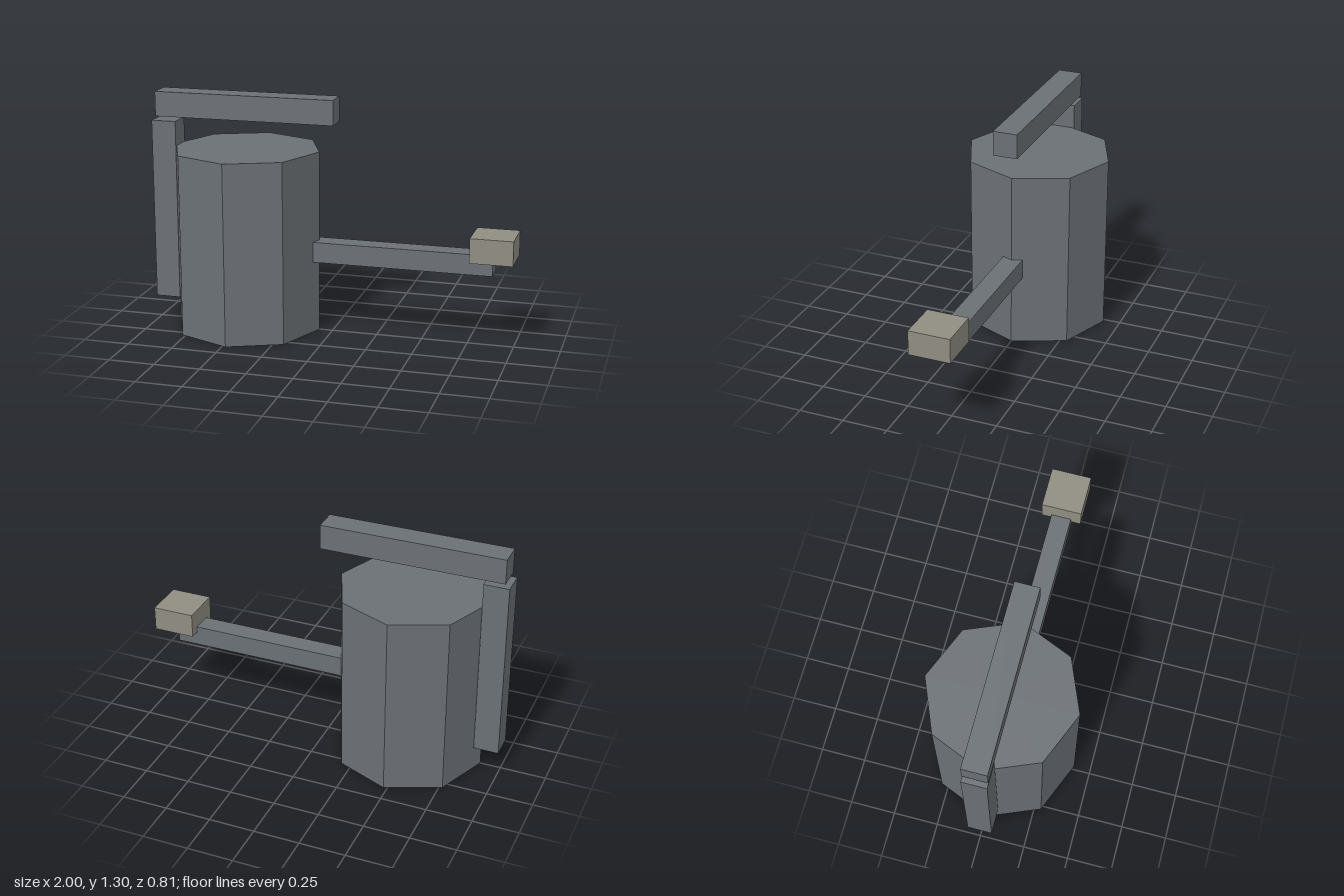
import * as THREE from 'three';

export function createModel() {
  const group = new THREE.Group();
  const steel = new THREE.MeshStandardMaterial({ color: 0x6b7075 });
  steel.name = 'slate grey';
  steel.flatShading = true;
  const pale = new THREE.MeshStandardMaterial({ color: 0x908e82 });
  pale.name = 'warm grey';

  // Box given by its x and y extents and its depth, centred on z = 0
  const bar = (name, x0, x1, y0, y1, depth, material) => {
    const mesh = new THREE.Mesh(new THREE.BoxGeometry(x1 - x0, y1 - y0, depth), material);
    mesh.position.set((x0 + x1) / 2, (y0 + y1) / 2, 0);
    mesh.name = name;
    group.add(mesh);
  };

  // Eight-sided drum
  const drum = new THREE.Mesh(new THREE.CylinderGeometry(0.407, 0.407, 1, 8), steel);
  drum.position.set(-0.48, 0.5, 0);
  drum.name = 'drum';
  group.add(drum);

  // Bracket beside and above the drum
  bar('uprightBar', -1, -0.864, 0.138, 1.136, 0.135, steel);
  bar('topBar', -0.977, 0.021, 1.16, 1.296, 0.135, steel);

  // Crank arm and its grip
  bar('crankArm', -0.094, 0.885, 0.4, 0.512, 0.113, steel);
  bar('crankGrip', 0.77, 1, 0.48, 0.615, 0.226, pale);

  return group;
}
